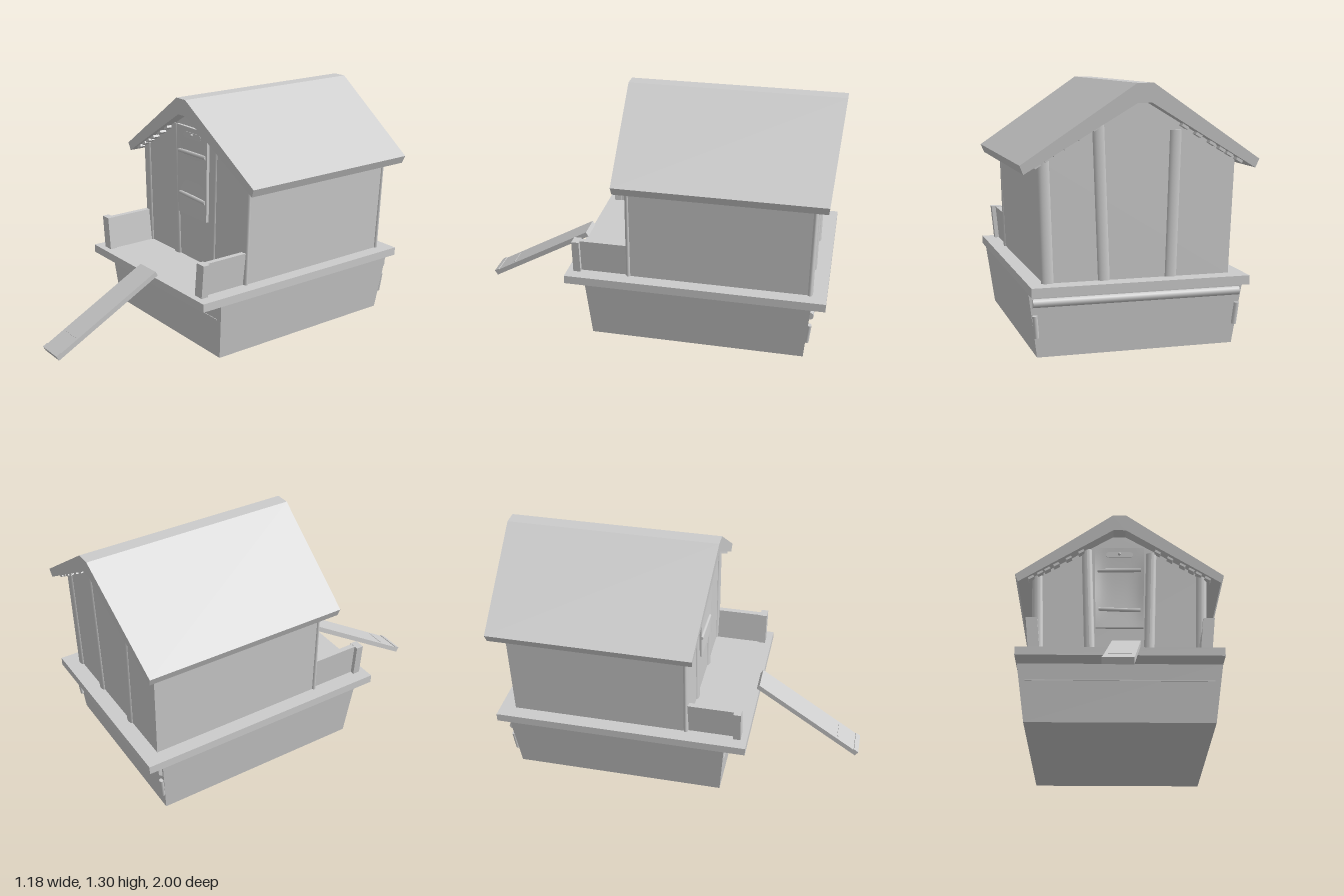
import * as THREE from 'three';

const grey = new THREE.MeshStandardMaterial({ color: 0xcccccc, flatShading: true });
const smooth = new THREE.MeshStandardMaterial({ color: 0xcccccc });

export function createModel() {
  const model = new THREE.Group();

  const add = (name, geometry, material = grey) => {
    const mesh = new THREE.Mesh(geometry, material);
    mesh.name = name;
    model.add(mesh);
    return mesh;
  };
  const box = (name, x0, x1, y0, y1, z0, z1) => {
    const mesh = add(name, new THREE.BoxGeometry(x1 - x0, y1 - y0, z1 - z0));
    mesh.position.set((x0 + x1) / 2, (y0 + y1) / 2, (z0 + z1) / 2);
    return mesh;
  };
  // Outline in x and y, extruded from z0 to z1
  const prism = (points, z0, z1) => {
    const shape = new THREE.Shape(points.map(([x, y]) => new THREE.Vector2(x, y)));
    return new THREE.ExtrudeGeometry(shape, { depth: z1 - z0, bevelEnabled: false }).translate(0, 0, z0);
  };
  const warp = (geometry, rule) => {
    const p = geometry.attributes.position;
    const v = new THREE.Vector3();
    for (let i = 0; i < p.count; i++) {
      v.fromBufferAttribute(p, i);
      rule(v);
      p.setXYZ(i, v.x, v.y, v.z);
    }
    geometry.computeVertexNormals();
    return geometry;
  };
  const rod = (name, a, b, radius) => {
    const from = new THREE.Vector3(...a), to = new THREE.Vector3(...b);
    const dir = to.clone().sub(from);
    const mesh = add(name, new THREE.CylinderGeometry(radius, radius, dir.length(), 10), smooth);
    mesh.position.copy(from).add(to).multiplyScalar(0.5);
    mesh.quaternion.setFromUnitVectors(new THREE.Vector3(0, 1, 0), dir.normalize());
    return mesh;
  };

  // Tapered base and overhanging deck
  add('base', warp(new THREE.BoxGeometry(2, 0.32, 2).translate(0, 0.16, 0), (v) => {
    const top = v.y > 0.1;
    v.x *= top ? 0.54 : 0.495;
    v.z = v.z > 0 ? (top ? 0.29 : 0.265) : (top ? -0.91 : -0.885);
  }));
  box('deck', -0.543, 0.54, 0.315, 0.36, -0.985, 0.405);
  box('baseSeam', -0.495, 0.495, 0.222, 0.228, 0.25, 0.286);
  rod('backRail', [-0.52, 0.27, -0.905], [0.52, 0.27, -0.905], 0.022);
  for (const s of [-1, 1]) {
    const peg = rod('backPeg', [s * 0.5, 0.1, -0.9], [s * 0.51, 0.21, -0.91], 0.013);
    peg.scale.z = 0.8;
  }

  // House body, narrowing slightly towards the deck
  add('house', prism([[-0.465, 0.355], [0.465, 0.355], [0.49, 0.945], [0.04, 1.22], [-0.04, 1.22], [-0.49, 0.945]], -0.9, 0.07));

  // Gabled roof slab whose ends lean outwards towards the ridge
  const roof = prism([
    [-0.57, 0.885], [-0.035, 1.205], [0.035, 1.205], [0.57, 0.885],
    [0.588, 0.928], [0.04, 1.297], [-0.04, 1.297], [-0.588, 0.928],
  ], -1, 1);
  add('roof', warp(roof, (v) => {
    const lean = 0.035 * (v.y - 0.885) / 0.41;
    v.z = v.z > 0 ? 0.123 + lean : -0.965 - lean;
  }));

  // Board ends tucked under the gable edges
  for (const s of [-1, 1]) {
    for (const x of [0.22, 0.29, 0.36, 0.41, 0.45, 0.5]) {
      for (const z of [0.085, -0.915]) {
        const tab = add('boardEnd', new THREE.BoxGeometry(0.035, 0.02, 0.05));
        tab.position.set(s * x, 1.222 - 0.598 * x, z);
        tab.rotation.z = -s * 0.54;
      }
    }
  }

  // Rounded wall posts: bottom x, top x, top y
  const post = (x0, x1, top, z, width = 0.06) => {
    const geometry = new THREE.CylinderGeometry(0.5, 0.5, 1, 16).translate(0, 0.5, 0);
    add('wallPost', warp(geometry, (v) => {
      v.x = v.x * width + THREE.MathUtils.lerp(x0, x1, v.y);
      v.y = THREE.MathUtils.lerp(0.355, top, v.y);
      v.z = v.z * 0.03 + z;
    }), smooth);
  };
  post(-0.16, -0.188, 1.12, 0.068);
  post(0.16, 0.183, 1.095, 0.068);
  post(-0.445, -0.465, 0.95, 0.068);
  post(0.445, 0.465, 0.95, 0.068);
  post(0.17, 0.2, 1.11, -0.898);
  post(-0.165, -0.185, 1.07, -0.898);
  post(0.445, 0.465, 0.94, -0.898);

  // Door panel, dished towards the middle
  const door = new THREE.BoxGeometry(0.28, 0.505, 0.03, 12, 16, 1).translate(0, 0.8725, 0.072);
  add('door', warp(door, (v) => {
    if (v.z > 0.08) {
      const u = v.x / 0.14, t = (v.y - 0.62) / 0.505;
      v.z -= 0.012 * (1 - u ** 4) * Math.sin(Math.PI * t);
    }
    v.x *= 0.95 + 0.06 * (v.y - 0.62) / 0.505;
  }), smooth);
  rod('doorBar', [-0.125, 0.978, 0.082], [0.122, 0.983, 0.082], 0.011);
  rod('doorBar', [-0.118, 0.735, 0.082], [0.118, 0.727, 0.082], 0.011);

  // Latch plate with a small knob
  const plate = new THREE.Shape();
  plate.absarc(0.06, 0, 0.018, -Math.PI / 2, Math.PI / 2);
  plate.absarc(-0.06, 0, 0.018, Math.PI / 2, Math.PI * 1.5);
  add('latchPlate', new THREE.ExtrudeGeometry(plate, { depth: 0.012, bevelEnabled: false, curveSegments: 8 }))
    .position.set(0, 1.08, 0.074);
  add('latchKnob', new THREE.SphereGeometry(0.009, 12, 8), smooth).position.set(0, 1.085, 0.087);

  // Low porch walls, leaning outwards, each with an end post
  for (const s of [-1, 1]) {
    const lean = (v) => { v.x = s * (v.x + 0.1 * (v.y - 0.36)); };
    const side = (name, x, w, h, z0, z1) => {
      const geometry = new THREE.BoxGeometry(w, h, z1 - z0).translate(x, 0.355 + h / 2, (z0 + z1) / 2);
      if (s < 0) { // keep the corner order after mirroring
        const index = geometry.index.array;
        for (let i = 0; i < index.length; i += 3) [index[i], index[i + 1]] = [index[i + 1], index[i]];
      }
      add(name, warp(geometry, lean));
    };
    side('porchWall', 0.44, 0.03, 0.188, 0.06, 0.35);
    side('porchPost', 0.448, 0.06, 0.19, 0.33, 0.37);
  }

  // Ramp plank, skewed sideways on its way down
  const ramp = new THREE.Group();
  ramp.name = 'ramp';
  const plank = (name, w, h, d, y, z) => {
    const geometry = warp(new THREE.BoxGeometry(w, h, d).translate(0, y, z), (v) => { v.x -= 0.075 * v.z; });
    const mesh = new THREE.Mesh(geometry, grey);
    mesh.name = name;
    ramp.add(mesh);
  };
  plank('rampBoard', 0.148, 0.028, 0.69, 0, 0);
  plank('rampCleat', 0.11, 0.006, 0.008, 0.0135, 0.2);
  plank('rampLip', 0.148, 0.01, 0.03, 0.0135, 0.33);
  ramp.position.set(0.005, 0.208, 0.694);
  ramp.rotation.x = 0.54;
  model.add(ramp);

  return model;
}
